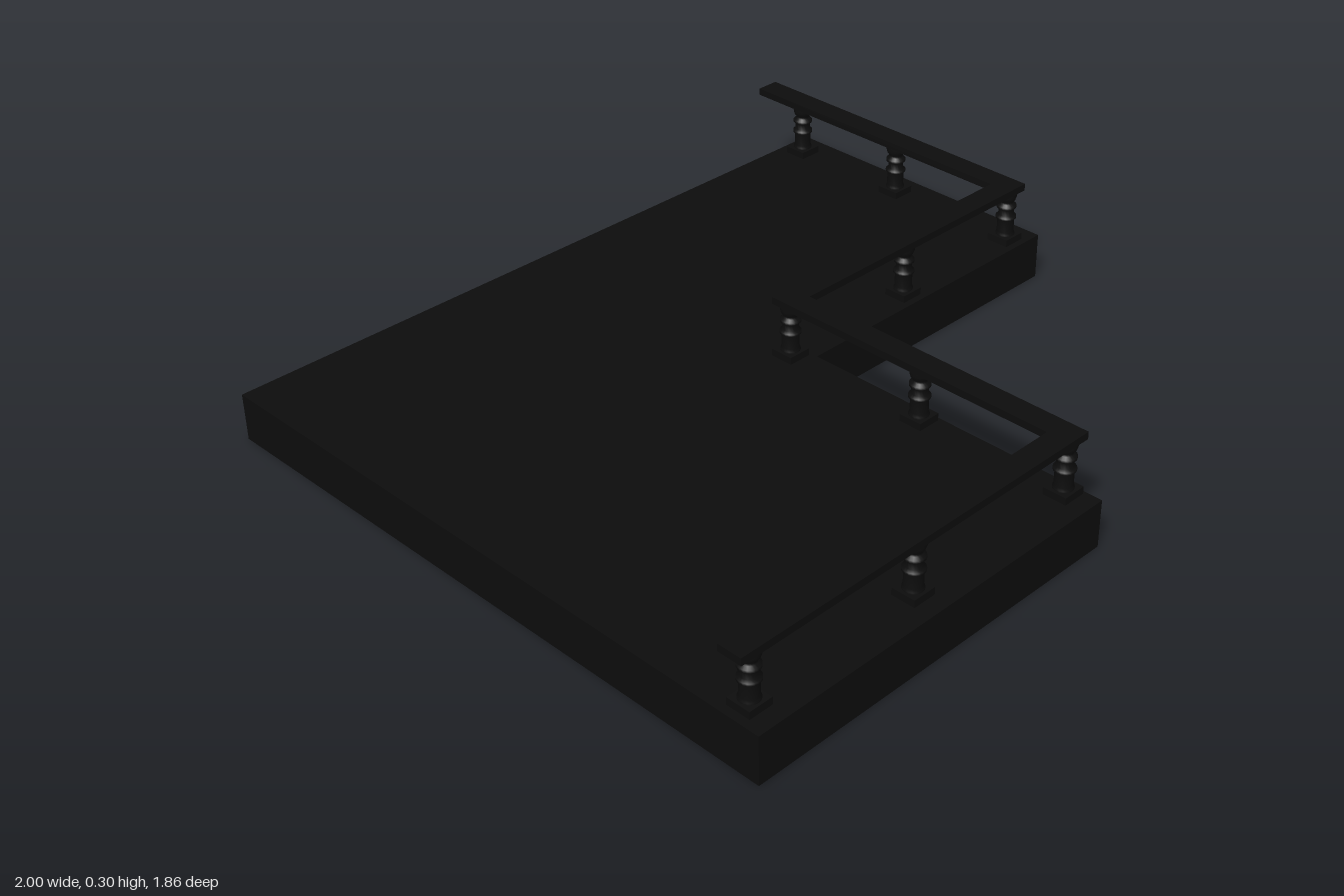
import * as THREE from 'three';

const material = new THREE.MeshStandardMaterial({ color: 0x0d0d0d });

// Flat plate from an [x, z] outline, filling bottom..top in y
function plate(name, outline, bottom, top) {
  const shape = new THREE.Shape(outline.map(([x, z]) => new THREE.Vector2(x, z)));
  const geometry = new THREE.ExtrudeGeometry(shape, { depth: top - bottom, bevelEnabled: false });
  geometry.rotateX(Math.PI / 2).translate(0, top, 0);
  const mesh = new THREE.Mesh(geometry, material);
  mesh.name = name;
  return mesh;
}

export function createModel() {
  const group = new THREE.Group();
  group.name = 'balcony';
  const floorTop = 0.13, railBottom = 0.28, railTop = 0.3;

  // L-shaped floor slab
  group.add(plate('floorSlab', [
    [-1, -0.85], [1, -0.85], [1, 0.035], [0.11, 0.035], [0.11, 0.925], [-1, 0.925],
  ], 0, floorTop));

  // Handrail: one mitred strip stepping around the open edges
  const x1 = 0.068, x2 = 0.917, z1 = 0.845, z2 = -0.017, h = 0.033;
  const side = (s) => [[-1, z1 + s], [x1 + s, z1 + s], [x1 + s, z2 + s], [x2 + s, z2 + s], [x2 + s, -0.93]];
  group.add(plate('handrail', [...side(h), ...side(-h).reverse()], railBottom, railTop));

  // Turned baluster: [radius, height] profile with two rings and a flared cap
  const profile = [
    [0.026, 0.148], [0.026, 0.154], [0.023, 0.16], [0.023, 0.196], [0.028, 0.2], [0.028, 0.206],
    [0.021, 0.211], [0.021, 0.228], [0.027, 0.232], [0.027, 0.239], [0.019, 0.244],
    [0.019, 0.25], [0.024, 0.257], [0.027, 0.266], [0.027, 0.282],
  ].map(([r, y]) => new THREE.Vector2(r, y));
  const shaftGeometry = new THREE.LatheGeometry(profile, 20);
  const baseGeometry = new THREE.BoxGeometry(0.066, 0.02, 0.066).translate(0, floorTop + 0.01, 0);

  const posts = [
    [-0.945, z1], [-0.45, z1], [x1, z1], [x1, 0.41], [x1, z2],
    [0.495, z2], [x2, z2], [x2, -0.42], [x2, -0.785],
  ];
  for (const [x, z] of posts) {
    const baluster = new THREE.Group();
    baluster.name = 'baluster';
    const base = new THREE.Mesh(baseGeometry, material);
    base.name = 'balusterBase';
    const shaft = new THREE.Mesh(shaftGeometry, material);
    shaft.name = 'balusterShaft';
    baluster.add(base, shaft);
    baluster.position.set(x, 0, z);
    group.add(baluster);
  }
  return group;
}
